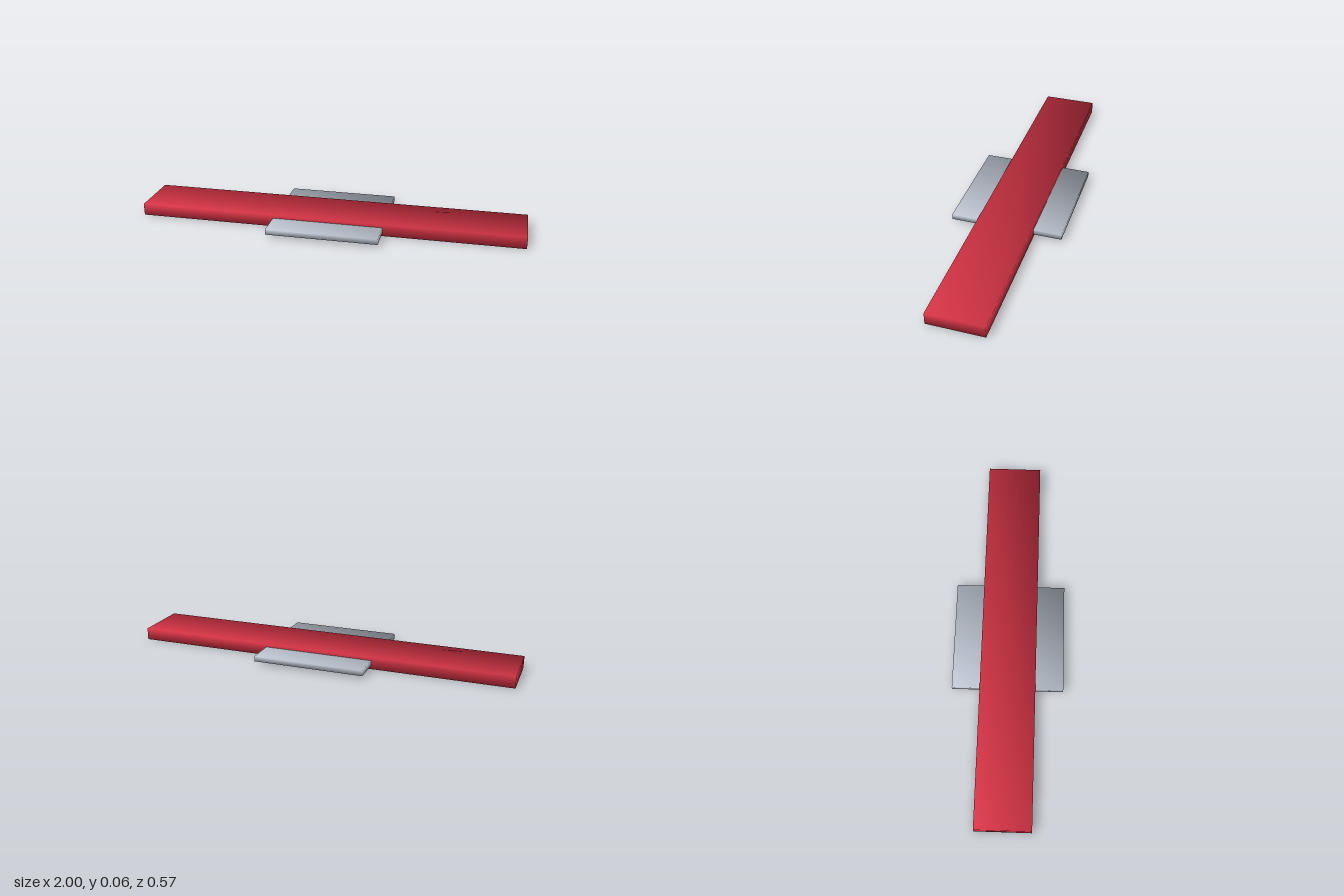
import * as THREE from 'three';

const red = new THREE.MeshStandardMaterial({ color: 0xd83446 });
red.name = 'red';
const grey = new THREE.MeshStandardMaterial({ color: 0xc0c8d4 });
grey.name = 'light grey';

// Box whose normals point out through its corners, so shading runs smoothly over the edges
function smoothBox(name, width, height, depth, y, material) {
  const geometry = new THREE.BoxGeometry(width, height, depth);
  const position = geometry.attributes.position;
  const normal = new THREE.Vector3();
  for (let i = 0; i < position.count; i++) {
    normal.set(Math.sign(position.getX(i)), Math.sign(position.getY(i)), Math.sign(position.getZ(i))).normalize();
    geometry.attributes.normal.setXYZ(i, normal.x, normal.y, normal.z);
  }
  const mesh = new THREE.Mesh(geometry, material);
  mesh.name = name;
  mesh.position.y = y;
  return mesh;
}

export function createModel() {
  const model = new THREE.Group();
  model.name = 'crossedPlates';
  // Long bar
  model.add(smoothBox('longBar', 2, 0.062, 0.285, 0.031, red));
  // Thin square plate through the middle of the bar
  model.add(smoothBox('crossPlate', 0.572, 0.028, 0.572, 0.031, grey));
  return model;
}
